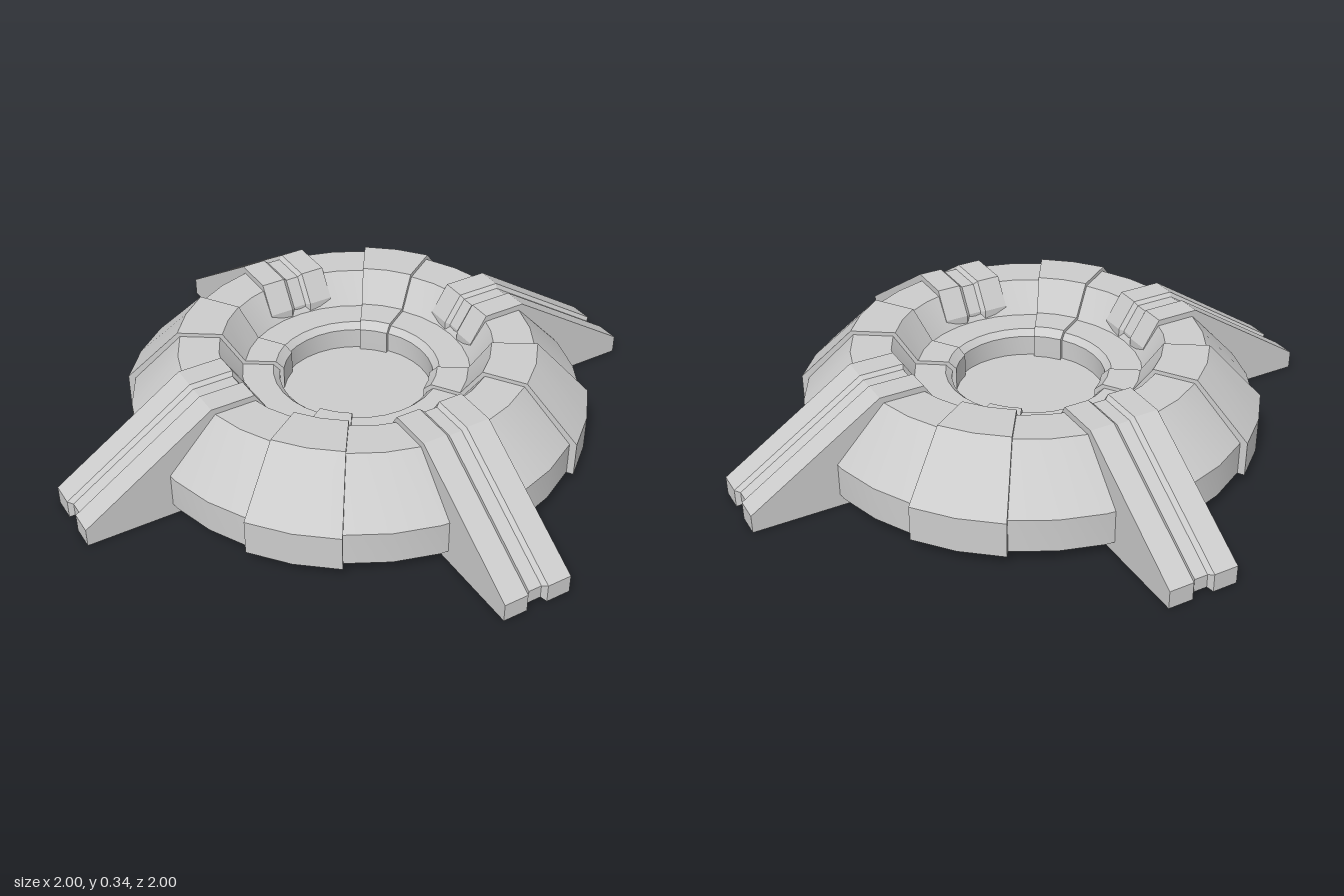
import * as THREE from 'three';
import { toCreasedNormals } from 'three/addons/utils/BufferGeometryUtils.js';

const material = new THREE.MeshStandardMaterial({ color: 0xcccccc });
const CREASE = 0.4;

// Closed solid through a row of sections; each section is a counterclockwise
// list of [radius, height] points placed in space by its own function.
function loft(sections) {
  const rings = sections.map(({ profile, place }) => profile.map(([r, y]) => place(r, y)));
  const n = rings[0].length;
  const out = [];
  const tri = (...corners) => corners.forEach((p) => out.push(p.x, p.y, p.z));
  for (let s = 0; s < rings.length - 1; s++) {
    for (let i = 0; i < n; i++) {
      const j = (i + 1) % n;
      const a = rings[s][i], b = rings[s][j], c = rings[s + 1][j], d = rings[s + 1][i];
      tri(a, d, c);
      tri(a, c, b);
    }
  }
  const contour = sections[0].profile.map(([r, y]) => new THREE.Vector2(r, y));
  const first = rings[0], last = rings[rings.length - 1];
  for (const [a, b, c] of THREE.ShapeUtils.triangulateShape(contour, [])) {
    tri(first[a], first[b], first[c]);
    tri(last[a], last[c], last[b]);
  }
  const geometry = new THREE.BufferGeometry();
  geometry.setAttribute('position', new THREE.Float32BufferAttribute(out, 3));
  return toCreasedNormals(geometry, CREASE);
}

// Round body with a raised rim, an inner ledge and a sunken floor
function bodyGeometry() {
  const profile = [
    [0, 0.04], [0.73, 0.04], [0.73, 0.15], [0.57, 0.32], [0.44, 0.32],
    [0.37, 0.22], [0.27, 0.22], [0.25, 0.2], [0.25, 0.13], [0, 0.13],
  ].map(([r, y]) => new THREE.Vector2(r, y));
  return toCreasedNormals(new THREE.LatheGeometry(profile, 32), CREASE);
}

// Slightly raised armour segment that wraps over the rim
function panelGeometry() {
  const profile = [
    [0.24, 0.038], [0.753, 0.038], [0.753, 0.155], [0.578, 0.333], [0.432, 0.333],
    [0.362, 0.232], [0.262, 0.232], [0.237, 0.208], [0.237, 0.1],
  ];
  const step = Math.PI / 16;
  return loft([3, 4, 5].map((k) => ({
    profile,
    place: (r, y) => new THREE.Vector3(r * Math.sin(k * step), y, r * Math.cos(k * step)),
  })));
}

// Sloping leg with a shallow groove running around its middle
function legGeometry() {
  const full = [[1, 0], [1, 0.06], [0.57, 0.34], [0.425, 0.34], [0.368, 0.25], [0.368, 0]];
  const inset = [[0.985, 0.011], [0.985, 0.055], [0.565, 0.329], [0.432, 0.329], [0.38, 0.246], [0.38, 0.011]];
  const stations = [
    [-0.115, full], [-0.035, full], [-0.022, inset],
    [0.022, inset], [0.035, full], [0.115, full],
  ];
  return loft(stations.map(([x, profile]) => ({
    profile,
    place: (r, y) => new THREE.Vector3(x, y, r),
  })));
}

export function createModel() {
  const model = new THREE.Group();
  model.name = 'fourLeggedBase';
  const add = (name, geometry, turn = 0) => {
    const mesh = new THREE.Mesh(geometry, material);
    mesh.name = name;
    mesh.rotation.y = turn;
    model.add(mesh);
  };

  add('ringBody', bodyGeometry());

  // Legs on the axes, panels on the diagonals
  const leg = legGeometry();
  const panel = panelGeometry();
  const sides = ['front', 'left', 'back', 'right'];
  const corners = ['frontLeft', 'backLeft', 'backRight', 'frontRight'];
  for (let k = 0; k < 4; k++) {
    add(sides[k] + 'Leg', leg, k * Math.PI / 2);
    add(corners[k] + 'Panel', panel, k * Math.PI / 2);
  }
  return model;
}
